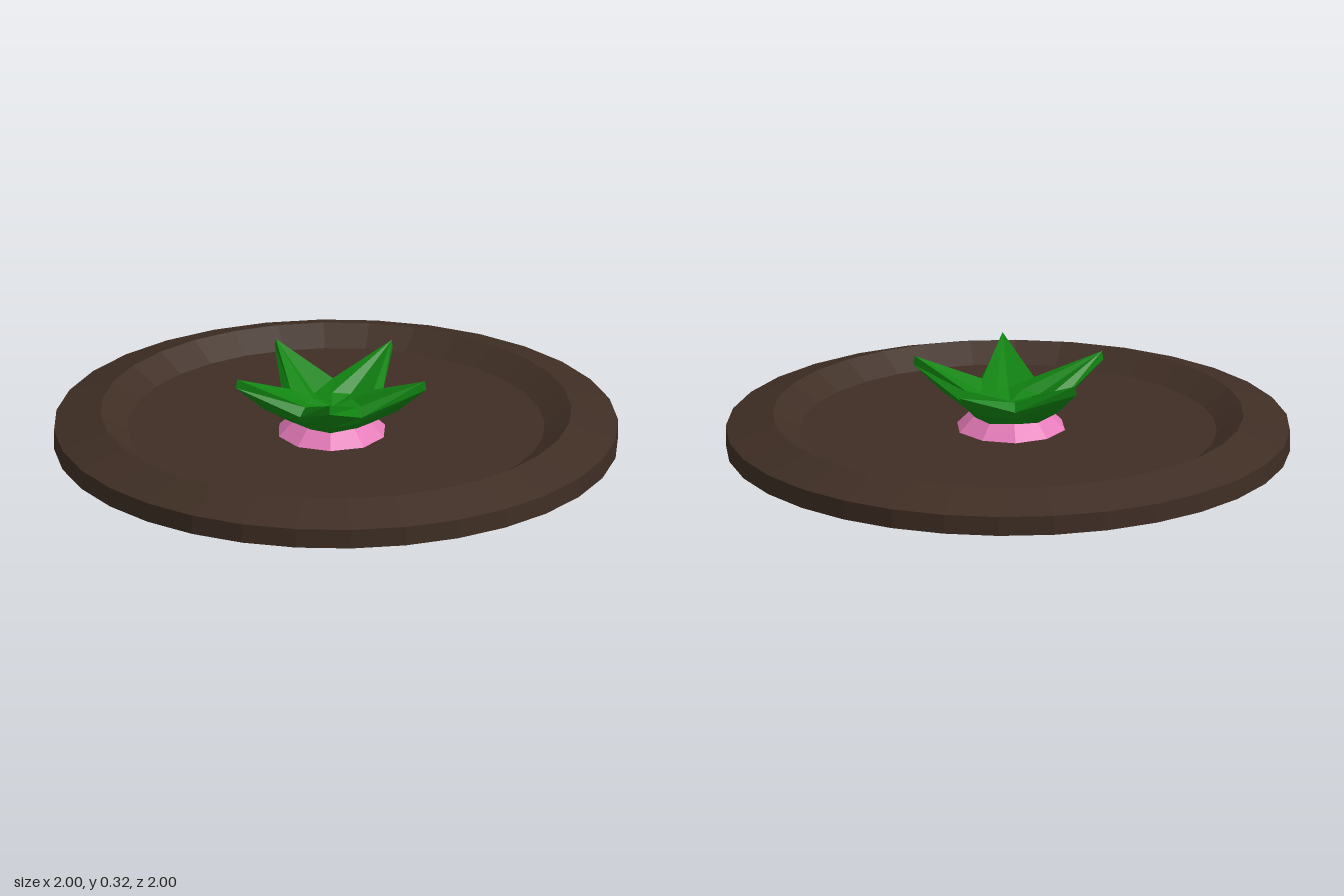
import * as THREE from 'three';

// Flat-shaded skin over ten-point star rings, each [tipRadius, tipY, valleyRadius, valleyY]
function starSkin(rings, points = 5) {
  const n = points * 2, pos = [], index = [];
  for (const [rt, yt, rv, yv] of rings) {
    for (let j = 0; j < n; j++) {
      const a = (j / n) * Math.PI * 2, tip = j % 2 === 0;
      const r = tip ? rt : rv;
      pos.push(r * Math.cos(a), tip ? yt : yv, r * Math.sin(a));
    }
  }
  for (let i = 0; i < rings.length - 1; i++) {
    for (let j = 0; j < n; j++) {
      const l0 = i * n + j, l1 = i * n + (j + 1) % n;
      index.push(l0, l0 + n, l1, l0 + n, l1 + n, l1);
    }
  }
  const g = new THREE.BufferGeometry();
  g.setAttribute('position', new THREE.Float32BufferAttribute(pos, 3));
  g.setIndex(index);
  const flat = g.toNonIndexed();
  flat.computeVertexNormals();
  return flat;
}

export function createModel() {
  const soil = new THREE.MeshStandardMaterial({ color: 0x3f2e24, flatShading: true });
  soil.name = 'soilBrown';
  const green = new THREE.MeshStandardMaterial({ color: 0x118411, flatShading: true, side: THREE.DoubleSide });
  green.name = 'leafGreen';
  const pink = new THREE.MeshStandardMaterial({ color: 0xe57bb9, flatShading: true, side: THREE.DoubleSide });
  pink.name = 'rootPink';

  const model = new THREE.Group();
  model.name = 'plantedRoot';
  const add = (name, geometry, material, z = 0) => {
    const mesh = new THREE.Mesh(geometry, material);
    mesh.name = name;
    mesh.position.z = z;
    model.add(mesh);
  };

  // Round soil patch with a bevelled rim and a sunken floor
  const profile = [[0, 0.025], [1, 0.025], [1, 0.095], [0.835, 0.15], [0.74, 0.09], [0, 0.09]]
    .map(([r, y]) => new THREE.Vector2(r, y));
  add('soilPatch', new THREE.LatheGeometry(profile, 32), soil);

  // Root shoulder: flares downward, its five points poke out below the soil
  add('rootShoulder', starSkin([
    [0.315, 0.0, 0.27, 0.038],
    [0.195, 0.09, 0.197, 0.09],
    [0.14, 0.145, 0.14, 0.145],
    [0, 0.15, 0, 0.15],
  ]), pink, 0.045);

  // Five-leaf crown: base, flared underside, thick leaf edge, hollow top
  add('leafCrown', starSkin([
    [0, 0.135, 0, 0.135],
    [0.145, 0.138, 0.135, 0.138],
    [0.25, 0.2, 0.165, 0.17],
    [0.355, 0.293, 0.185, 0.2],
    [0.35, 0.325, 0.155, 0.228],
    [0.11, 0.195, 0.075, 0.205],
    [0, 0.18, 0, 0.18],
  ]), green, 0.045);

  return model;
}
